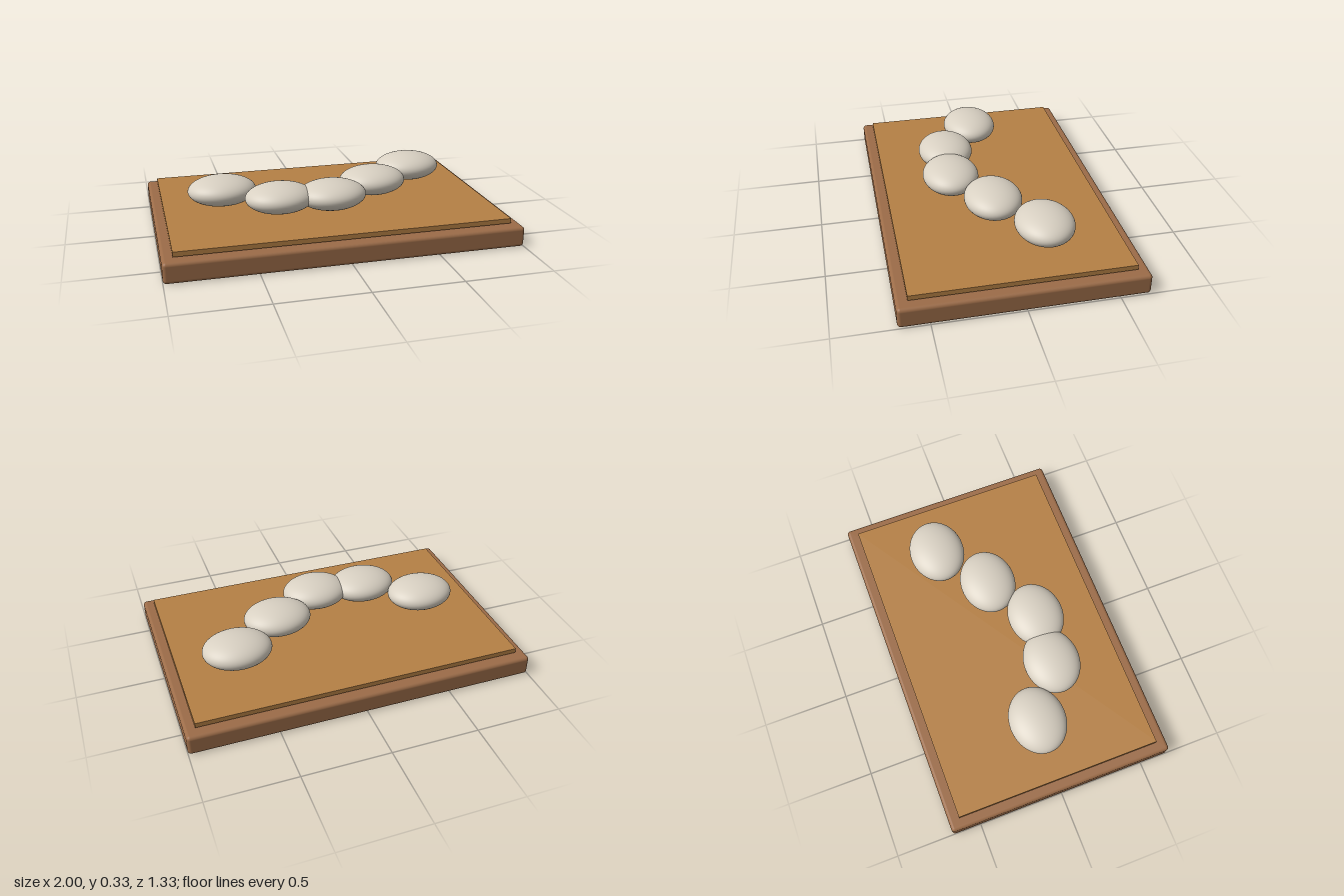
import * as THREE from 'three';
import { RoundedBoxGeometry } from 'three/addons/geometries/RoundedBoxGeometry.js';

export function createModel() {
  const model = new THREE.Group();
  model.name = 'stoneTray';

  const darkWood = new THREE.MeshStandardMaterial({ name: 'darkWood', color: 0x9c6c48 });
  const lightWood = new THREE.MeshStandardMaterial({ name: 'lightWood', color: 0xb58045 });
  const paleStone = new THREE.MeshStandardMaterial({ name: 'paleStone', color: 0xd8d0c2 });

  const add = (name, geometry, material, x, y, z) => {
    const mesh = new THREE.Mesh(geometry, material);
    mesh.name = name;
    mesh.position.set(x, y, z);
    model.add(mesh);
    return mesh;
  };

  // Thick base with softened edges
  add('base', new RoundedBoxGeometry(2, 0.117, 1.334, 4, 0.02), darkWood, 0, 0.0585, 0);

  // Thin top panel, raised just clear of the base
  add('topPanel', new THREE.BoxGeometry(1.88, 0.028, 1.208), lightWood, 0, 0.137, 0);

  // Curved row of flattened stones
  const stoneGeometry = new THREE.SphereGeometry(1, 48, 32).scale(0.198, 0.084, 0.163);
  [-0.002, 0.205, 0.223, 0.032, -0.188].forEach((z, i) => {
    add(`stone${i + 1}`, stoneGeometry, paleStone, -0.6 + i * 0.3, 0.25, z);
  });

  return model;
}
